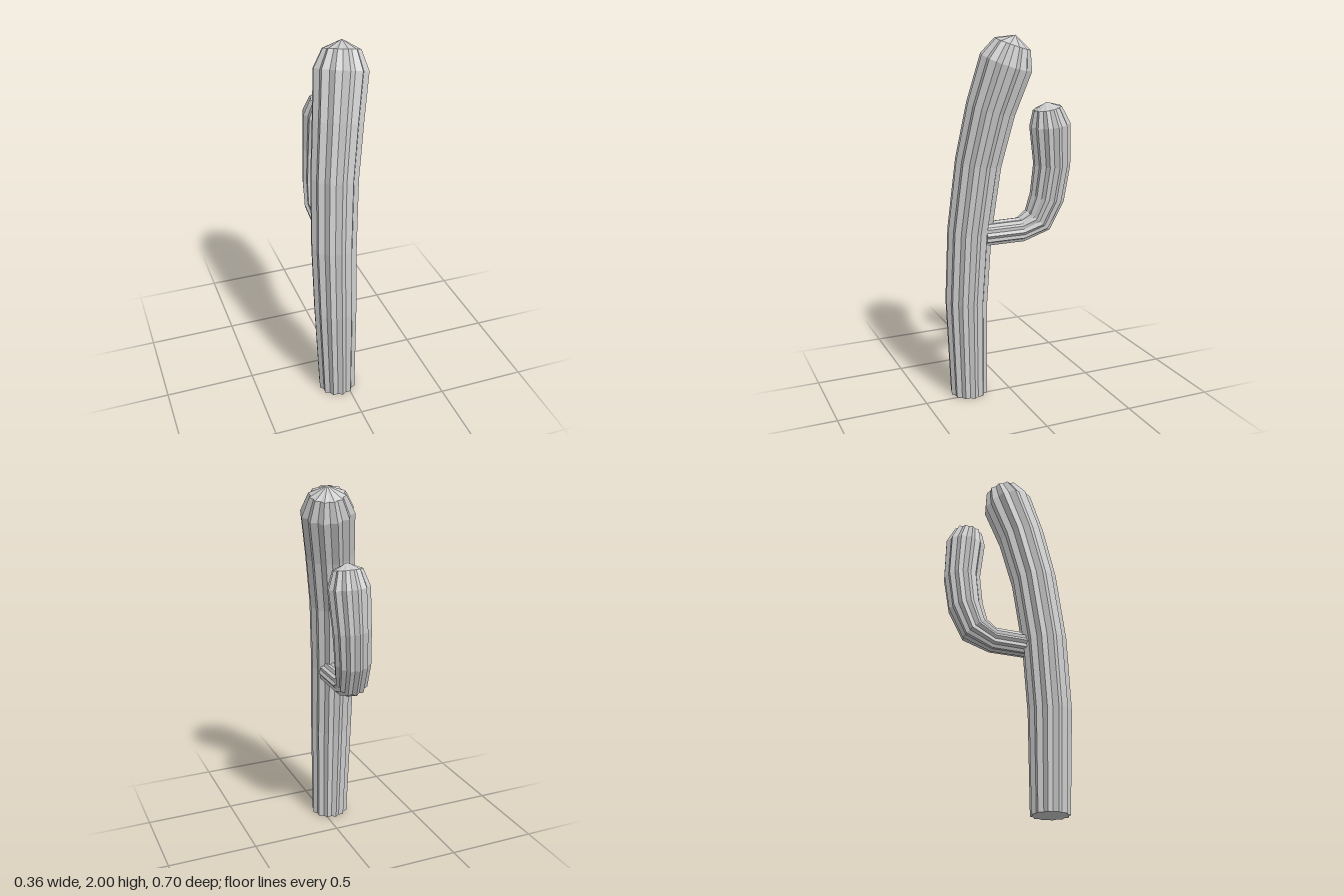
import * as THREE from 'three';

const RIBS = 12;
const SIDES = RIBS * 2;
const VALLEY = 0.87; // groove radius relative to rib radius

// Fluted stem: sections are [x, y, z, ribRadius]; the last one is the tip point.
function ribbedStem(name, sections, startDir, material) {
  const centres = sections.map(([x, y, z]) => new THREE.Vector3(x, y, z));
  const tip = centres[centres.length - 1];

  // Star-shaped rings, each square to the local direction of the stem
  const rings = sections.slice(0, -1).map(([, , , radius], i) => {
    const dir = i === 0 ? startDir.clone()
      : centres[i + 1].clone().sub(centres[i - 1]).normalize();
    const u = new THREE.Vector3(1, 0, 0).addScaledVector(dir, -dir.x).normalize();
    const v = u.clone().cross(dir);
    return Array.from({ length: SIDES }, (_, k) => {
      const a = (k / SIDES) * Math.PI * 2;
      const r = radius * (k % 2 ? VALLEY : 1);
      return centres[i].clone()
        .addScaledVector(u, r * Math.cos(a))
        .addScaledVector(v, r * Math.sin(a));
    });
  });

  const pos = [];
  const tri = (...points) => points.forEach((p) => pos.push(p.x, p.y, p.z));
  const last = rings[rings.length - 1];
  for (let k = 0; k < SIDES; k++) {
    const n = (k + 1) % SIDES;
    for (let i = 0; i < rings.length - 1; i++) {
      const lo = rings[i], hi = rings[i + 1];
      tri(lo[k], hi[k], lo[n]);
      tri(hi[k], hi[n], lo[n]);
    }
    tri(centres[0], rings[0][k], rings[0][n]); // base
    tri(tip, last[n], last[k]);                // crown
  }

  const geometry = new THREE.BufferGeometry();
  geometry.setAttribute('position', new THREE.Float32BufferAttribute(pos, 3));
  geometry.computeVertexNormals();
  const mesh = new THREE.Mesh(geometry, material);
  mesh.name = name;
  return mesh;
}

export function createModel() {
  const group = new THREE.Group();
  group.name = 'cactus';
  const material = new THREE.MeshStandardMaterial({ color: 0xcccccc, flatShading: true });

  // Leaning main trunk
  group.add(ribbedStem('trunk', [
    [-0.05, 0, 0.23, 0.104],
    [-0.063, 0.55, 0.234, 0.118],
    [-0.063, 0.95, 0.21, 0.123],
    [-0.043, 1.33, 0.163, 0.127],
    [-0.005, 1.62, 0.105, 0.134],
    [0.036, 1.86, 0.034, 0.144],
    [0.05, 1.955, 0.003, 0.1],
    [0.056, 2.0, -0.01, 0],
  ], new THREE.Vector3(0, 1, 0), material));

  // Side arm growing out of the back and bending upward
  group.add(ribbedStem('arm', [
    [-0.02, 0.935, 0.145, 0.068],
    [-0.018, 0.937, -0.075, 0.07],
    [-0.01, 0.985, -0.175, 0.088],
    [0.005, 1.115, -0.225, 0.097],
    [0.02, 1.3, -0.245, 0.102],
    [0.03, 1.52, -0.226, 0.112],
    [0.03, 1.61, -0.21, 0.079],
    [0.032, 1.643, -0.205, 0],
  ], new THREE.Vector3(0, 0, -1), material));

  return group;
}
